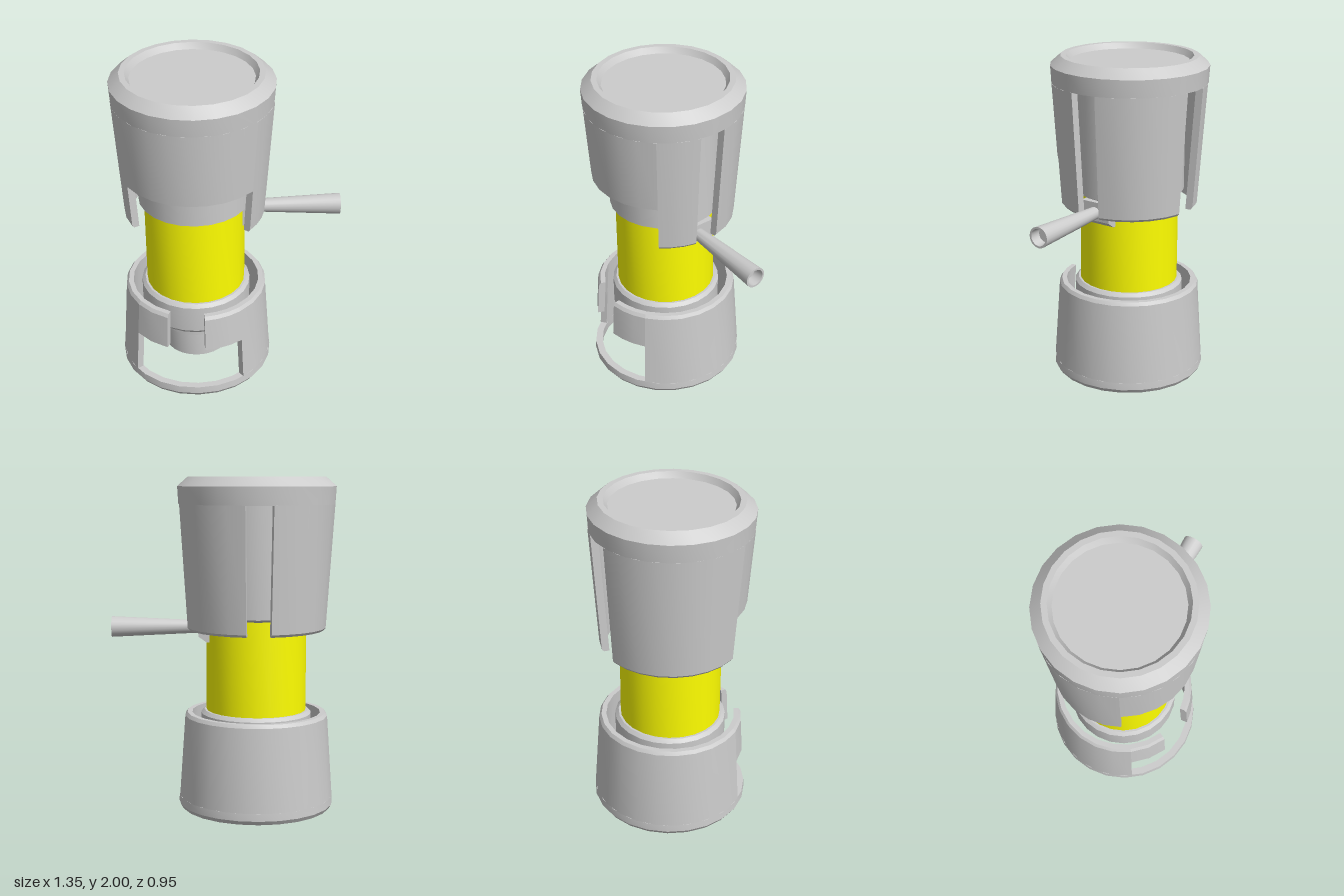
import * as THREE from 'three';
import { mergeGeometries, toCreasedNormals } from 'three/addons/utils/BufferGeometryUtils.js';

const SIDES = 24;
const rad = THREE.MathUtils.degToRad;
const grey = new THREE.MeshStandardMaterial({ color: 0xcccccc });
const yellow = new THREE.MeshStandardMaterial({ color: 0xffff00 });

const vec = (pts) => pts.map(([r, y]) => new THREE.Vector2(r, y));

// Solid of revolution with crisp profile edges; [radius, y] listed counter-clockwise
function turned(name, pts, material = grey, sides = SIDES) {
  const mesh = new THREE.Mesh(toCreasedNormals(new THREE.LatheGeometry(vec(pts), sides), 0.5), material);
  mesh.name = name;
  return mesh;
}

// Radius of a piecewise-linear outline at height y
function radiusAt(line, y) {
  let i = 1;
  while (i < line.length - 1 && line[i][1] < y) i++;
  const [r0, y0] = line[i - 1], [r1, y1] = line[i];
  return r0 + (r1 - r0) * (y - y0) / (y1 - y0);
}

// Curved wall piece between two heights and two angles (degrees, 0 = front, 90 = left)
function wall(name, outer, inner, y0, y1, a0 = 0, a1 = 360) {
  const pts = [
    [radiusAt(outer, y0), y0],
    ...outer.filter(([, y]) => y > y0 && y < y1),
    [radiusAt(outer, y1), y1],
    [radiusAt(inner, y1), y1],
    [radiusAt(inner, y0), y0],
  ];
  const span = a1 - a0;
  const steps = Math.max(2, Math.ceil(span / 15));
  const parts = [toCreasedNormals(
    new THREE.LatheGeometry(vec([...pts, pts[0]]), steps, rad(a0), rad(span)), 0.5)];
  // Flat faces closing both cut ends
  if (span < 360) {
    [a0, a1].forEach((a, end) => {
      const cap = new THREE.ShapeGeometry(new THREE.Shape(vec(pts)));
      if (end) cap.index.array.reverse();
      cap.rotateY(rad(a) - Math.PI / 2);
      const flat = cap.toNonIndexed();
      flat.computeVertexNormals();
      parts.push(flat);
    });
  }
  const mesh = new THREE.Mesh(mergeGeometries(parts), grey);
  mesh.name = name;
  return mesh;
}

function createBase() {
  const base = new THREE.Group();
  base.name = 'base';
  const outer = [[0.455, 0], [0.471, 0.025], [0.434, 0.565], [0.42, 0.585]];
  const inner = [[0.43, 0], [0.39, 0.585]];
  // Bottom ring, then the wall around the front window and the notch above it
  base.add(wall('baseRing', outer, inner, 0, 0.07));
  base.add(wall('baseWall', outer, inner, 0.07, 0.585, 37, 306));
  base.add(wall('baseTabLeft', outer, inner, 0.35, 0.585, 6, 37));
  base.add(wall('baseTabRight', outer, inner, 0.35, 0.585, 306, 336));
  // Collar under the barrel, stepping down to a hollow nozzle
  base.add(turned('nozzleCollar', [
    [0, 0.2], [0.095, 0.2], [0.095, 0.07], [0.155, 0.07], [0.204, 0.11], [0.204, 0.285],
    [0.245, 0.305], [0.245, 0.38], [0.31, 0.38], [0.335, 0.41], [0.335, 0.58],
    [0.315, 0.6], [0, 0.6],
  ]));
  return base;
}

function createCap() {
  const cap = new THREE.Group();
  cap.name = 'cap';
  const outer = [[0.408, 1.09], [0.42, 1.105], [0.475, 1.94]];
  const inner = [[0.375, 1.09], [0.43, 1.94]];
  // Skirt split by the left slot, the back slot and the front opening
  [[49, 80], [100, 170], [190, 299]].forEach(([a0, a1], i) =>
    cap.add(wall('capSkirt' + (i + 1), outer, inner, 1.09, 1.84, a0, a1)));
  cap.add(wall('capFront', outer, inner, 1.38, 1.84, 299, 409));
  // Lid with bevelled rim and shallow recess
  cap.add(turned('capTop', [
    [0, 1.84], [radiusAt(outer, 1.84), 1.84], [0.475, 1.945], [0.413, 2],
    [0.38, 2], [0.357, 1.965], [0, 1.965],
  ]));
  // Inner sleeve seen through the openings
  cap.add(turned('capSleeve', [[0, 1.165], [0.31, 1.165], [0.335, 1.18], [0.335, 1.84]]));
  return cap;
}

function createLever() {
  const lever = new THREE.Group();
  lever.name = 'lever';
  // Mounting block with a bevelled lower edge
  const side = new THREE.Shape(vec([[0.27, 1.02], [0.3, 1.02], [0.35, 1.055], [0.35, 1.17], [0.27, 1.17]]));
  const block = new THREE.Mesh(
    new THREE.ExtrudeGeometry(side, { depth: 0.2, bevelEnabled: false }).translate(0, 0, -0.1), grey);
  block.name = 'leverBlock';
  lever.add(block);
  // Flared handle, hollow at the tip
  const handle = turned('leverHandle',
    [[0, 0], [0.037, 0], [0.063, 0.553], [0.051, 0.553], [0.046, 0.49], [0, 0.49]], grey, 20);
  handle.rotation.z = -Math.PI / 2;
  handle.position.set(0.32, 1.103, 0.005);
  lever.add(handle);
  return lever;
}

export function createModel() {
  const model = new THREE.Group();
  model.name = 'model';
  // Coloured barrel between base and cap
  const barrel = turned('barrel', [[0, 0.59], [0.302, 0.59], [0.302, 1.18], [0, 1.18]], yellow);
  model.add(createBase(), barrel, createCap(), createLever());
  // The lever reaches out to the left, so the body sits off centre
  model.position.x = -0.198;
  return model;
}
